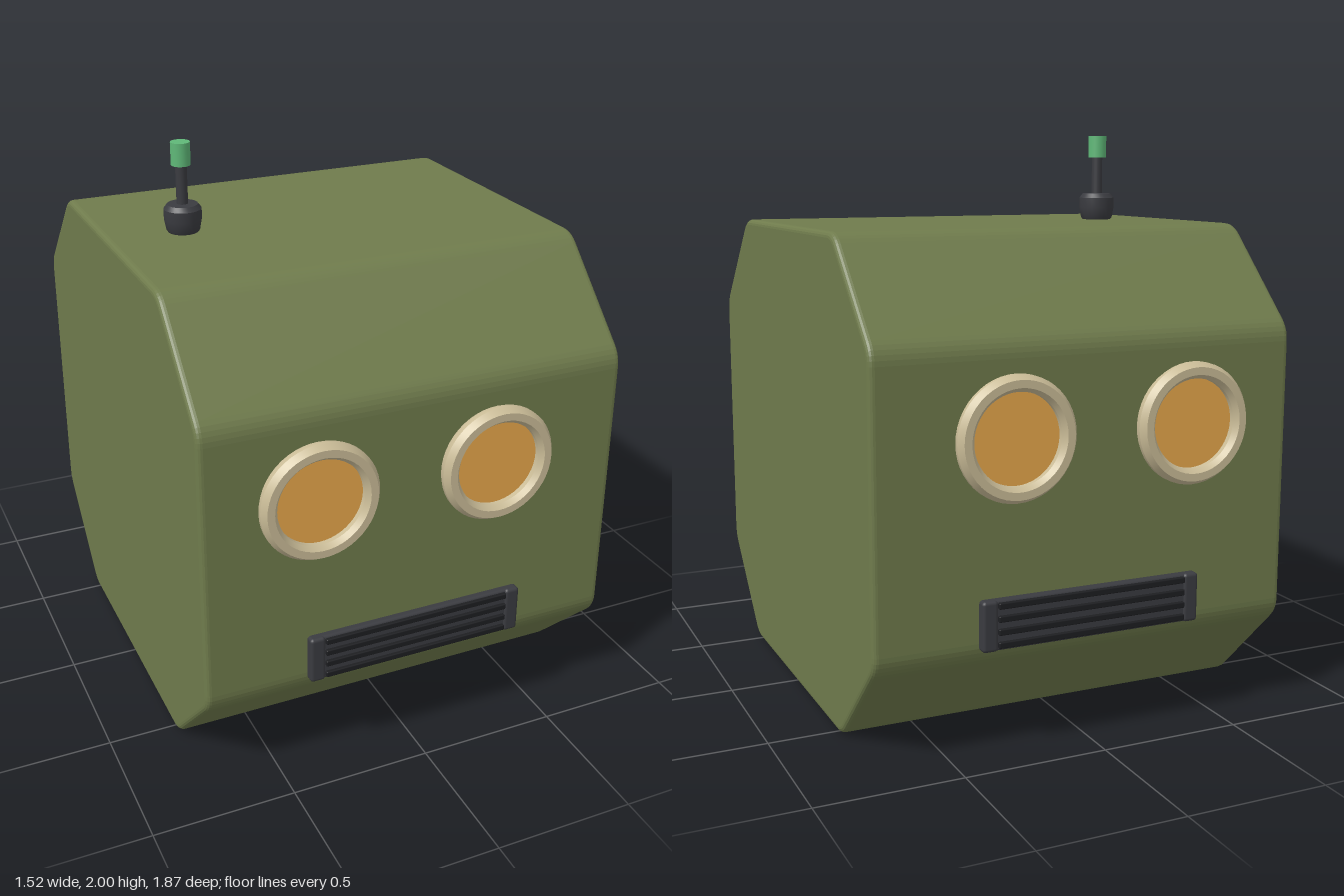
import * as THREE from 'three';
import { toCreasedNormals } from 'three/addons/utils/BufferGeometryUtils.js';
import { RoundedBoxGeometry } from 'three/addons/geometries/RoundedBoxGeometry.js';

const paint = (color) => new THREE.MeshStandardMaterial({ color });
const olive = paint(0x6f7b4c);
const cream = paint(0xcbbd98);
const amber = paint(0xe8a84c);
const charcoal = paint(0x3a3b40);
const black = paint(0x1d1e21);
const green = paint(0x5fb878);

function add(parent, name, geometry, material, x = 0, y = 0, z = 0) {
  const mesh = new THREE.Mesh(geometry, material);
  mesh.name = name;
  mesh.position.set(x, y, z);
  parent.add(mesh);
  return mesh;
}

const lathe = (profile, segments) => toCreasedNormals(
  new THREE.LatheGeometry(profile.map(([r, y]) => new THREE.Vector2(r, y)), segments), 0.5);

// Octagonal side profile with rounded corners, extruded across the width
function shellGeometry() {
  const height = 1.685, halfDepth = 0.88, halfWidth = 0.76, cut = 0.34, bevel = 0.02;
  const a = halfDepth - cut;
  const corners = [
    [a, 0], [halfDepth, cut], [halfDepth, height - cut], [a, height],
    [-a, height], [-halfDepth, height - cut], [-halfDepth, cut], [-a, 0],
  ].map(([z, y]) => new THREE.Vector2(z, y));
  const shape = new THREE.Shape();
  corners.forEach((p, i) => {
    const toward = (q) => p.clone().add(q.clone().sub(p).setLength(0.045));
    const start = toward(corners[(i + 7) % 8]);
    const end = toward(corners[(i + 1) % 8]);
    if (i === 0) shape.moveTo(start.x, start.y);
    else shape.lineTo(start.x, start.y);
    shape.quadraticCurveTo(p.x, p.y, end.x, end.y);
  });
  shape.closePath();
  const depth = 2 * (halfWidth - bevel);
  return new THREE.ExtrudeGeometry(shape, {
    depth, curveSegments: 5, bevelEnabled: true, bevelSegments: 4,
    bevelSize: bevel, bevelThickness: bevel, bevelOffset: -bevel,
  }).translate(0, 0, -depth / 2).rotateY(Math.PI / 2);
}

// Eyes and mouth grille; side is 1 for the front, -1 for the back
function makeFace(side) {
  const face = new THREE.Group();
  face.name = side > 0 ? 'frontFace' : 'backFace';
  if (side < 0) face.rotation.y = Math.PI;

  const rim = lathe([
    [0.195, -0.01], [0.207, 0.015], [0.207, 0.03], [0.192, 0.053],
    [0.166, 0.053], [0.152, 0.035], [0.152, -0.01],
  ], 48).rotateX(Math.PI / 2);
  const lens = new THREE.CylinderGeometry(0.156, 0.156, 0.03, 48).rotateX(Math.PI / 2);
  for (const x of [-0.365, 0.28]) {
    add(face, 'eyeRim', rim, cream, x * side, 1.048, 0.88);
    add(face, 'eyeLens', lens, amber, x * side, 1.048, 0.882);
  }

  add(face, 'grillePlate', new RoundedBoxGeometry(0.8, 0.17, 0.05, 2, 0.012),
    charcoal, 0, 0.445, 0.88);
  const endCap = new RoundedBoxGeometry(0.055, 0.17, 0.05, 2, 0.012);
  for (const x of [-0.3725, 0.3725]) add(face, 'grilleEnd', endCap, charcoal, x, 0.445, 0.887);
  const slat = new RoundedBoxGeometry(0.69, 0.021, 0.04, 2, 0.004);
  for (let i = 0; i < 4; i++) add(face, 'grilleSlat', slat, black, 0, 0.381 + i * 0.0435, 0.897);
  return face;
}

// Antenna with collar, stem and coloured tip
function makeAntenna() {
  const antenna = new THREE.Group();
  antenna.name = 'antenna';
  antenna.position.set(-0.485, 1.685, 0);
  add(antenna, 'antennaCollar', lathe([
    [0, -0.005], [0.05, -0.005], [0.059, 0.008], [0.066, 0.045],
    [0.066, 0.082], [0.054, 0.098], [0, 0.1],
  ], 24), charcoal);
  add(antenna, 'antennaStem', new THREE.CylinderGeometry(0.02, 0.02, 0.16, 20), charcoal, 0, 0.165);
  add(antenna, 'antennaTip', new THREE.CylinderGeometry(0.034, 0.034, 0.08, 24), green, 0, 0.275);
  return antenna;
}

export function createModel() {
  const model = new THREE.Group();
  model.name = 'robotHead';
  add(model, 'headShell', shellGeometry(), olive);
  model.add(makeFace(1), makeFace(-1), makeAntenna());
  return model;
}
